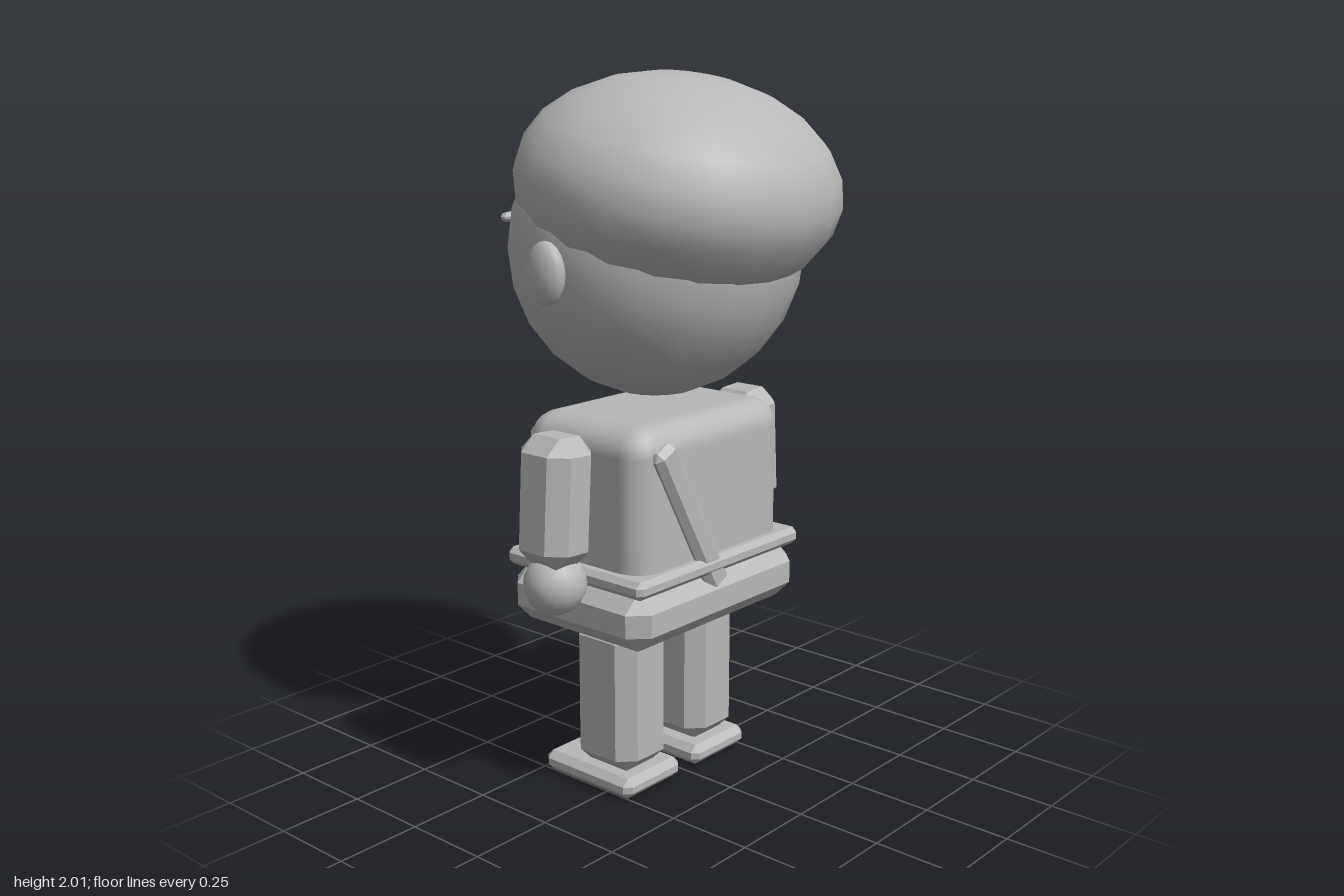
import * as THREE from 'three';
import { ConvexGeometry } from 'three/addons/geometries/ConvexGeometry.js';
import { RoundedBoxGeometry } from 'three/addons/geometries/RoundedBoxGeometry.js';

// Box with every edge cut off by c
function chamferBox(w, h, d, c) {
  const half = [w / 2, h / 2, d / 2];
  const points = [];
  for (let axis = 0; axis < 3; axis++) {
    for (const sx of [-1, 1]) for (const sy of [-1, 1]) for (const sz of [-1, 1]) {
      const p = half.map((v, i) => (i === axis ? v : v - c));
      points.push(new THREE.Vector3(sx * p[0], sy * p[1], sz * p[2]));
    }
  }
  return new ConvexGeometry(points);
}

function ellipsoid(rx, ry, rz, around = 20, rings = 12) {
  return new THREE.SphereGeometry(1, around, rings).scale(rx, ry, rz);
}

export function createModel() {
  const model = new THREE.Group();
  const grey = new THREE.MeshStandardMaterial({ color: 0xb8b8b8 });
  grey.name = 'grey';
  const Z = -0.035; // middle of the body, which looks towards -z

  function add(name, geometry, x, y, z) {
    const mesh = new THREE.Mesh(geometry, grey);
    mesh.name = name;
    mesh.position.set(x, y, z);
    model.add(mesh);
    return mesh;
  }

  // Head and tilted cap of hair
  add('head', ellipsoid(0.42, 0.42, 0.4), 0, 1.54, -0.03);
  const hair = add('hair', ellipsoid(0.46, 0.295, 0.44), 0, 1.705, 0.05);
  hair.rotation.x = 0.18;

  // Nose and smile
  add('nose', ellipsoid(0.05, 0.05, 0.05, 16, 10), 0, 1.438, -0.44);
  const smilePoints = [[-0.055, 0.02, 0.008], [-0.03, -0.004, -0.002], [0, -0.014, -0.004],
    [0.03, -0.004, -0.002], [0.055, 0.02, 0.008]].map((p) => new THREE.Vector3(...p));
  const smile = new THREE.CatmullRomCurve3(smilePoints);
  add('mouth', new THREE.TubeGeometry(smile, 12, 0.011, 8), 0, 1.358, -0.393);
  for (const end of [smilePoints[0], smilePoints[4]]) {
    add('mouthCorner', ellipsoid(0.013, 0.013, 0.013, 8, 6), end.x, 1.358 + end.y, -0.393 + end.z);
  }

  // Torso, belt and hips
  add('torso', new RoundedBoxGeometry(0.63, 0.49, 0.45, 2, 0.08), 0, 0.845, Z);
  add('belt', chamferBox(0.7, 0.05, 0.51, 0.015), 0, 0.67, Z);
  add('hips', chamferBox(0.71, 0.165, 0.51, 0.05), 0, 0.567, Z);

  // Shoulder strap across both faces of the torso
  for (const side of [-1, 1]) {
    const strap = add('strap', chamferBox(0.085, 0.5, 0.045, 0.018), -0.115, 0.82, Z + side * 0.228);
    strap.rotation.z = 0.5;
  }

  // Mirrored parts
  for (const s of [-1, 1]) {
    const label = s > 0 ? 'left' : 'right';
    add(label + 'Ear', ellipsoid(0.035, 0.085, 0.063, 16, 10), s * 0.425, 1.5, Z);
    add(label + 'Eye', ellipsoid(0.032, 0.055, 0.028, 14, 10), s * 0.157, 1.495, -0.4);
    add(label + 'EyeGlint', ellipsoid(0.014, 0.016, 0.014, 8, 6), s * 0.157 + 0.016, 1.52, -0.426);
    const brow = add(label + 'Brow', chamferBox(0.122, 0.024, 0.032, 0.009), s * 0.157, 1.605, -0.411);
    brow.rotation.z = -s * 0.09;

    const arm = add(label + 'Arm', chamferBox(0.165, 0.355, 0.185, 0.045), s * 0.406, 0.893, Z);
    arm.rotation.z = s * 0.06;
    add(label + 'Hand', ellipsoid(0.087, 0.087, 0.087, 16, 10), s * 0.41, 0.66, Z);
    add(label + 'Leg', chamferBox(0.2, 0.44, 0.225, 0.045), s * 0.15, 0.275, Z);
    add(label + 'Foot', chamferBox(0.235, 0.06, 0.335, 0.02), s * 0.148, 0.03, -0.072);
  }

  return model;
}
